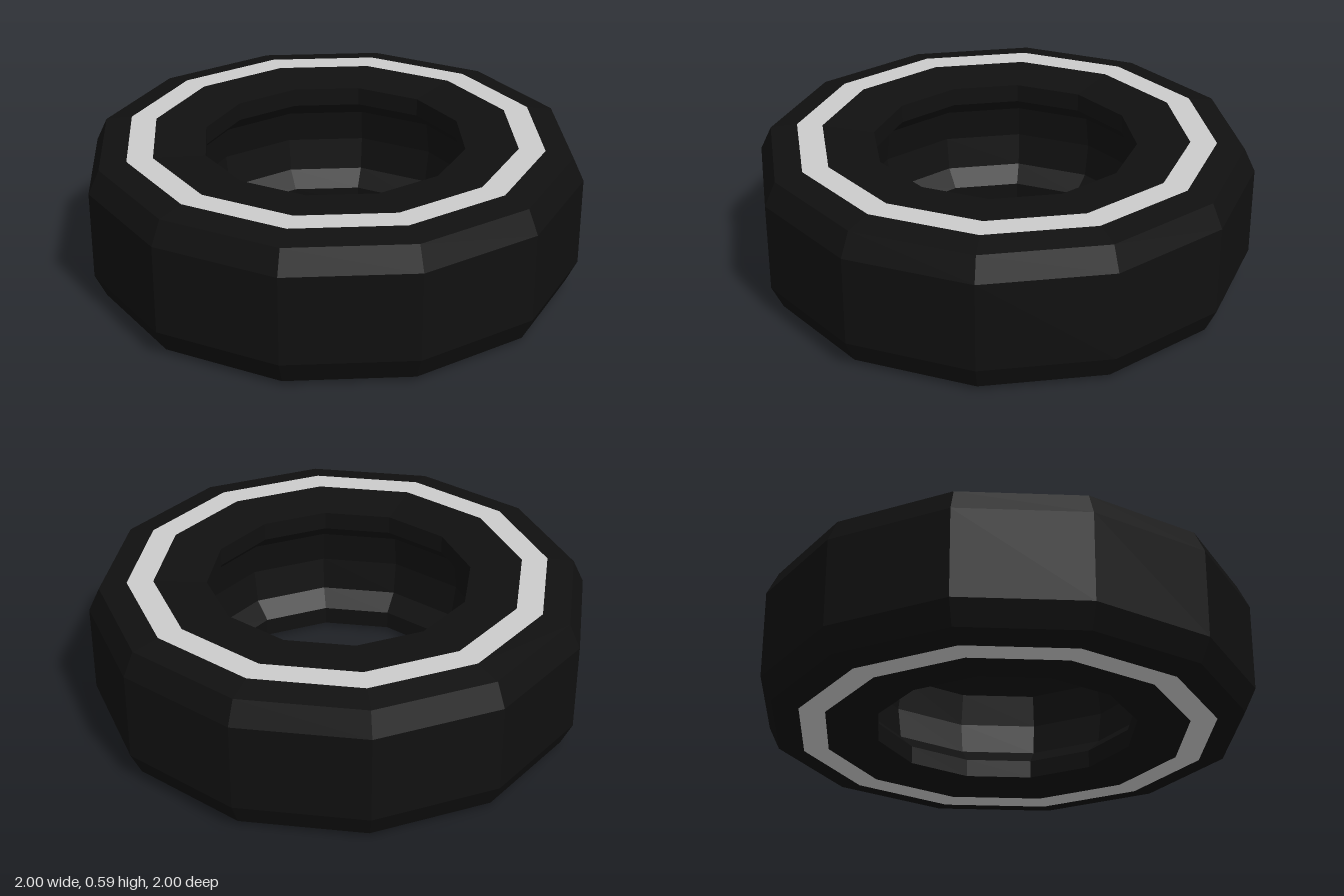
import * as THREE from 'three';

const SIDES = 12;
const HEIGHT = 0.59;

// Revolves a (radius, height) profile around the vertical axis.
function ring(name, profile, material) {
  const points = profile.map(([r, y]) => new THREE.Vector2(r, y));
  const mesh = new THREE.Mesh(new THREE.LatheGeometry(points, SIDES), material);
  mesh.name = name;
  return mesh;
}

// Reflects a profile about mid height, keeping its winding.
const mirror = (profile) => profile.map(([r, y]) => [r, HEIGHT - y]).reverse();

export function createModel() {
  const group = new THREE.Group();
  group.name = 'tyre';
  const rubber = new THREE.MeshStandardMaterial({ color: 0x101010, flatShading: true });
  const pale = new THREE.MeshStandardMaterial({ color: 0xcccccc, flatShading: true });

  // Tread and rounded shoulders
  const shoulder = [[1, 0.475], [0.955, 0.57], [0.845, HEIGHT]];
  group.add(ring('tread', [...mirror(shoulder), ...shoulder], rubber));

  // Pale band on each sidewall
  const band = [[0.845, HEIGHT], [0.74, HEIGHT]];
  group.add(ring('upperBand', band, pale));
  group.add(ring('lowerBand', mirror(band), pale));

  // Inner sidewalls, bead lips and the shallow recess between them
  const bead = [[0.74, HEIGHT], [0.53, 0.57], [0.53, 0.495], [0.6, 0.43]];
  group.add(ring('innerWall', [...bead, [0.62, HEIGHT / 2], ...mirror(bead)], rubber));

  return group;
}
